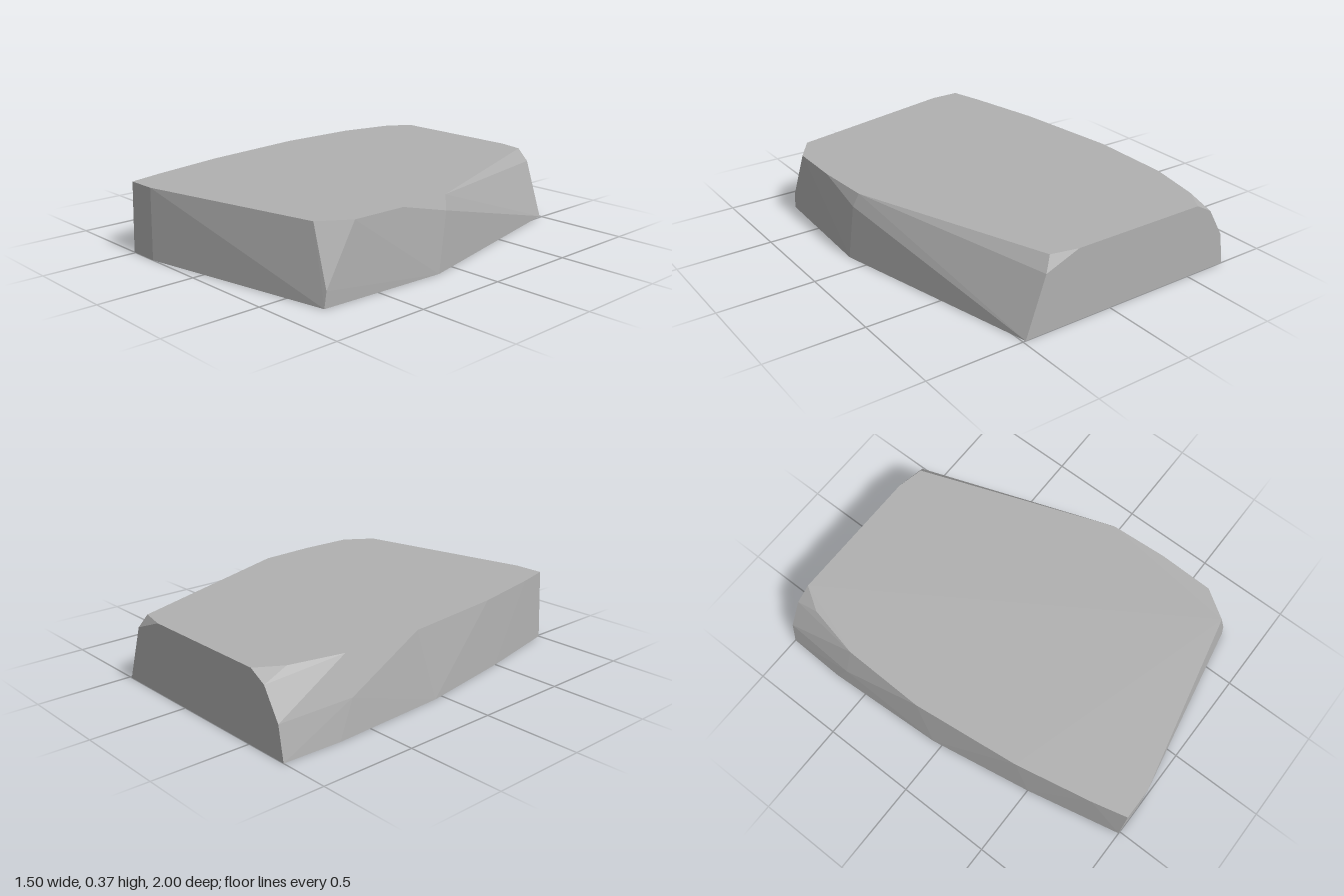
import * as THREE from 'three';
import { ConvexGeometry } from 'three/addons/geometries/ConvexGeometry.js';

export function createModel() {
  const group = new THREE.Group();
  group.name = 'stoneSlab';
  const stone = new THREE.MeshStandardMaterial({ color: 0xb0b0b0 });
  stone.name = 'stone grey';

  const HEIGHT = 0.37;
  // outlines as [x, z]
  const base = [
    [-0.74, -1], [-0.75, -0.69], [-0.715, -0.05], [-0.62, 0.5], [-0.51, 1],
    [-0.34, 1], [0.71, 0.81], [0.745, 0.12], [0.485, -1],
  ];
  const top = [
    [-0.53, -1], [0.2, -1], [0.34, -0.97], [0.71, 0.05], [0.727, 0.35],
    [0.72, 0.64], [0.62, 0.79], [-0.33, 1], [-0.49, 1], [-0.535, 0.82],
    [-0.615, 0.42], [-0.68, -0.15], [-0.67, -0.59], [-0.61, -0.87],
  ];
  // chipped corners between the two outlines, as [x, y, z]
  const chips = [
    [-0.62, 0.32, -1], [-0.71, 0.17, -1], [-0.73, 0.18, -0.6],
    [0.38, 0.3, -1], [0.735, 0.3, 0.07], [0.713, 0.08, 0.8],
  ];

  const points = [
    ...base.map(([x, z]) => new THREE.Vector3(x, 0, z)),
    ...top.map(([x, z]) => new THREE.Vector3(x, HEIGHT, z)),
    ...chips.map((p) => new THREE.Vector3(...p)),
  ];
  const slab = new THREE.Mesh(new ConvexGeometry(points), stone);
  slab.name = 'slab';
  group.add(slab);
  return group;
}
